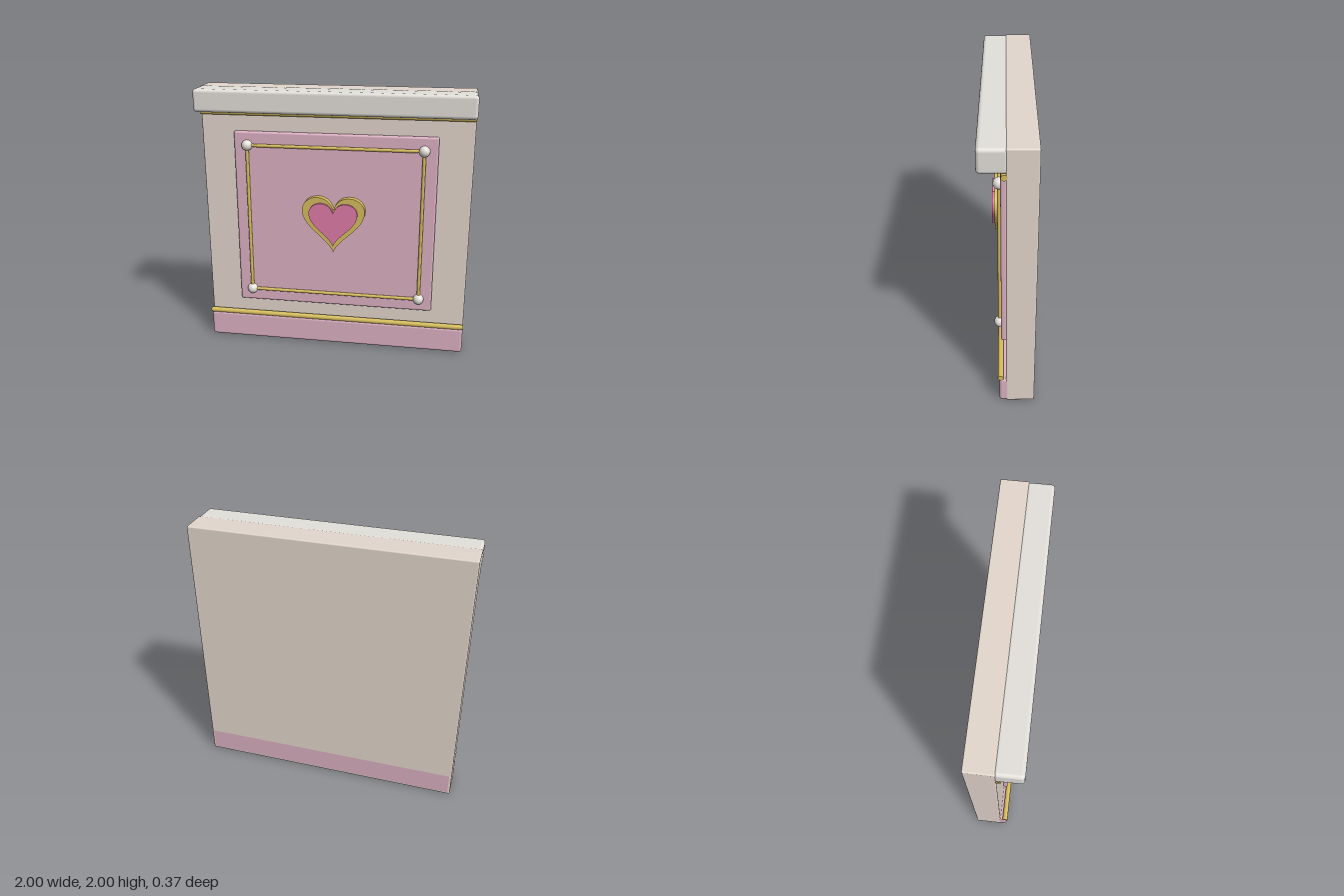
import * as THREE from 'three';
import { RoundedBoxGeometry } from 'three/addons/geometries/RoundedBoxGeometry.js';

const material = (color) => new THREE.MeshStandardMaterial({ color });

export function createModel() {
  const group = new THREE.Group();
  const beige = material(0xe2d6cc);
  const cream = material(0xe2dfda);
  const pink = material(0xdcb0c2);
  const gold = material(0xd6bc5c);
  const rose = material(0xe07ba8);
  const pearl = material(0xe6e2dd);

  const add = (name, geometry, mat, x = 0, y = 0, z = 0) => {
    const mesh = new THREE.Mesh(geometry, mat);
    mesh.name = name;
    mesh.position.set(x, y, z);
    group.add(mesh);
    return mesh;
  };

  // Rounded slab given by its width and its y and z limits
  const slab = (name, mat, width, y0, y1, z0, z1, radius) =>
    add(name, new RoundedBoxGeometry(width, y1 - y0, z1 - z0, 4, radius), mat,
      0, (y0 + y1) / 2, (z0 + z1) / 2);

  // Round bar along x, or along y when upright
  const bar = (name, length, radius, x, y, z, upright = false) => {
    const geometry = new THREE.CylinderGeometry(radius, radius, length, 16);
    if (!upright) geometry.rotateZ(Math.PI / 2);
    return add(name, geometry, gold, x, y, z);
  };

  // Wall, cornice, skirting and raised panel
  slab('wall', beige, 2, 0, 2, -0.185, 0.012, 0.01);
  slab('cornice', cream, 2, 1.835, 2, -0.005, 0.185, 0.025);
  slab('skirting', pink, 1.998, 0.001, 0.2, -0.1855, 0.06, 0.02);
  slab('panel', pink, 1.5, 0.33, 1.68, 0.005, 0.047, 0.015);

  // Rails below the cornice and above the skirting
  bar('upperRail', 2, 0.02, 0, 1.815, 0.022);
  bar('lowerRail', 2, 0.02, 0, 0.215, 0.05);

  // Panel frame with a pearl at each corner
  const frameX = 0.65, frameY = [0.43, 1.58], frameZ = 0.056;
  for (const y of frameY) {
    bar('frameRail', frameX * 2, 0.0125, 0, y, frameZ);
    for (const x of [-frameX, frameX])
      add('cornerPearl', new THREE.SphereGeometry(0.04, 24, 16), pearl, x, y, frameZ);
  }
  for (const x of [-frameX, frameX])
    bar('frameStile', frameY[1] - frameY[0], 0.0125, x, (frameY[0] + frameY[1]) / 2, frameZ, true);

  // Two-layer heart: gold backing with a smaller rose inlay
  const heart = (name, mat, s, z0, z1) => {
    const shape = new THREE.Shape();
    shape.moveTo(0, -0.24 * s);
    shape.bezierCurveTo(0.04 * s, -0.13 * s, 0.235 * s, -0.05 * s, 0.235 * s, 0.08 * s);
    shape.bezierCurveTo(0.235 * s, 0.145 * s, 0.18 * s, 0.185 * s, 0.12 * s, 0.185 * s);
    shape.bezierCurveTo(0.06 * s, 0.185 * s, 0.02 * s, 0.15 * s, 0, 0.09 * s);
    shape.bezierCurveTo(-0.02 * s, 0.15 * s, -0.06 * s, 0.185 * s, -0.12 * s, 0.185 * s);
    shape.bezierCurveTo(-0.18 * s, 0.185 * s, -0.235 * s, 0.145 * s, -0.235 * s, 0.08 * s);
    shape.bezierCurveTo(-0.235 * s, -0.05 * s, -0.04 * s, -0.13 * s, 0, -0.24 * s);
    const geometry = new THREE.ExtrudeGeometry(shape, {
      depth: z1 - z0, bevelEnabled: false, curveSegments: 12,
    });
    add(name, geometry, mat, 0, 1.03, z0);
  };
  heart('heartBacking', gold, 1, 0.04, 0.095);
  heart('heartInlay', rose, 0.775, 0.09, 0.113);

  return group;
}
